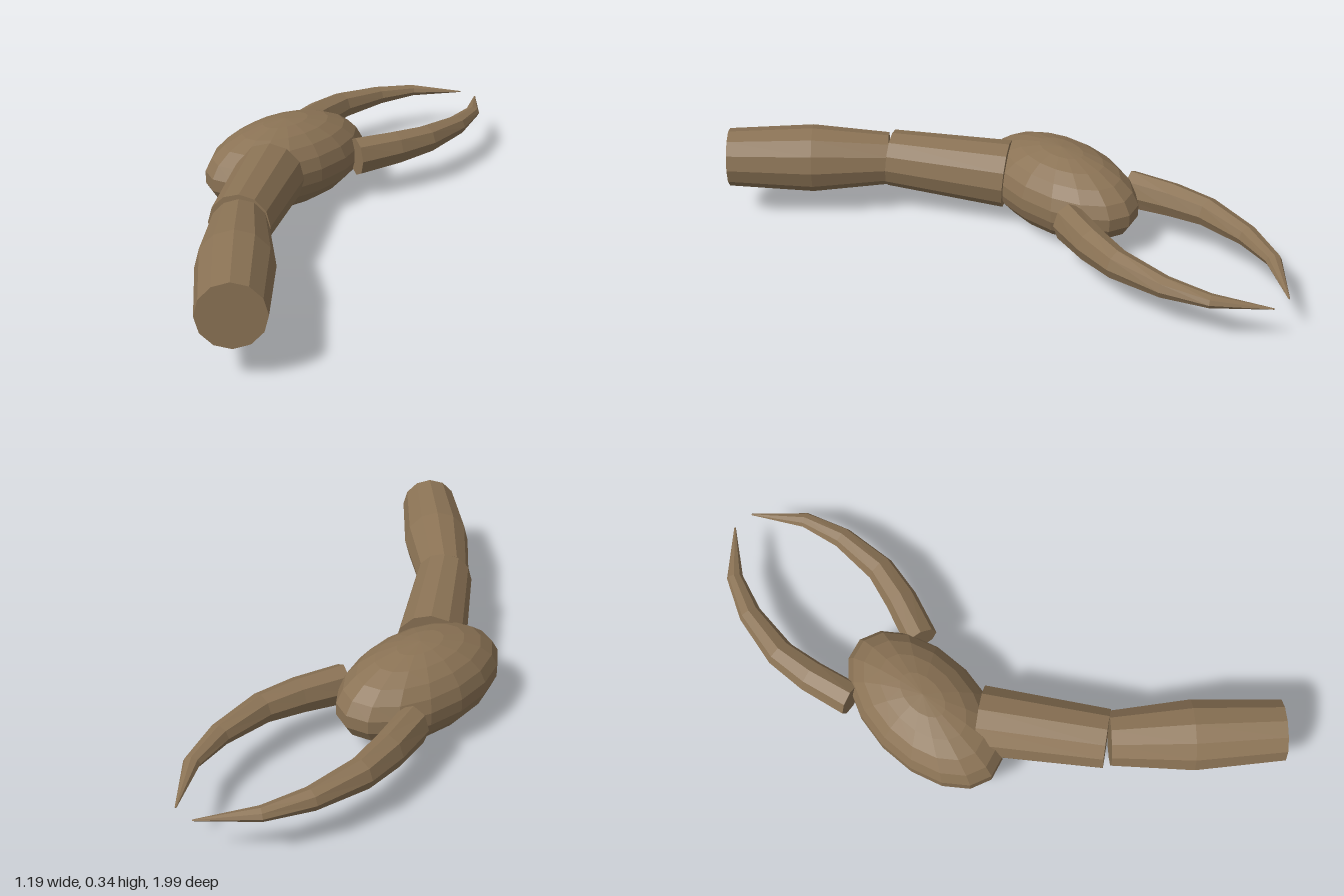
import * as THREE from 'three';

const shell = new THREE.MeshStandardMaterial({ color: 0x8b7355, flatShading: true });
shell.name = 'brown shell';

// Closed loft through sections [x, y, z, sideRadius, upRadius]
function loft(name, sections, sides) {
  const centres = sections.map(([x, y, z]) => new THREE.Vector3(x, y, z));
  const last = centres.length - 1;
  const up = new THREE.Vector3(0, 1, 0);
  const position = [], index = [];
  sections.forEach(([, , , rs, ru], i) => {
    const t = centres[Math.min(i + 1, last)].clone().sub(centres[Math.max(i - 1, 0)]).normalize();
    const s = up.clone().cross(t).normalize();
    const n = t.clone().cross(s);
    for (let j = 0; j < sides; j++) {
      const a = (j / sides) * Math.PI * 2;
      const p = centres[i].clone().addScaledVector(s, Math.cos(a) * rs).addScaledVector(n, Math.sin(a) * ru);
      position.push(p.x, p.y, p.z);
    }
  });
  const startCap = position.length / 3, endCap = startCap + 1;
  position.push(...centres[0].toArray(), ...centres[last].toArray());
  for (let j = 0; j < sides; j++) {
    const k = (j + 1) % sides;
    for (let i = 0; i < last; i++) {
      const a = i * sides, b = a + sides;
      index.push(a + j, a + k, b + k, a + j, b + k, b + j);
    }
    index.push(startCap, k, j, endCap, last * sides + j, last * sides + k);
  }
  const indexed = new THREE.BufferGeometry();
  indexed.setAttribute('position', new THREE.Float32BufferAttribute(position, 3));
  indexed.setIndex(index);
  const geometry = indexed.toNonIndexed();
  geometry.computeVertexNormals();
  const mesh = new THREE.Mesh(geometry, shell);
  mesh.name = name;
  return mesh;
}

export function createModel() {
  const group = new THREE.Group();
  group.name = 'pincerArm';
  const palmX = -0.31;

  // Egg-shaped palm
  const palm = new THREE.Mesh(new THREE.SphereGeometry(1, 16, 11), shell);
  palm.name = 'palm';
  palm.scale.set(0.2, 0.162, 0.345);
  palm.position.set(palmX, 0.163, 0);
  group.add(palm);

  // Two arm segments meeting at the elbow
  group.add(loft('innerArm', [
    [-0.2, 0.182, 0.17, 0.125, 0.125],
    [0.065, 0.21, 0.52, 0.105, 0.105],
  ], 12));
  group.add(loft('outerArm', [
    [0.073, 0.208, 0.525, 0.097, 0.097],
    [0.285, 0.215, 0.71, 0.125, 0.125],
    [0.52, 0.227, 0.912, 0.107, 0.107],
  ], 12));

  // Curved pincers, mirrored about the palm; x is measured outward from it
  const pincer = [
    [0.165, 0.165, -0.2, 0.06, 0.075],
    [0.213, 0.17, -0.36, 0.058, 0.065],
    [0.238, 0.172, -0.5, 0.051, 0.054],
    [0.22, 0.17, -0.69, 0.04, 0.037],
    [0.168, 0.168, -0.84, 0.029, 0.022],
    [0.04, 0.156, -0.999, 0.003, 0.002],
  ];
  for (const [name, side] of [['leftPincer', 1], ['rightPincer', -1]]) {
    group.add(loft(name, pincer.map(([x, ...rest]) => [palmX + side * x, ...rest]), 8));
  }
  return group;
}
